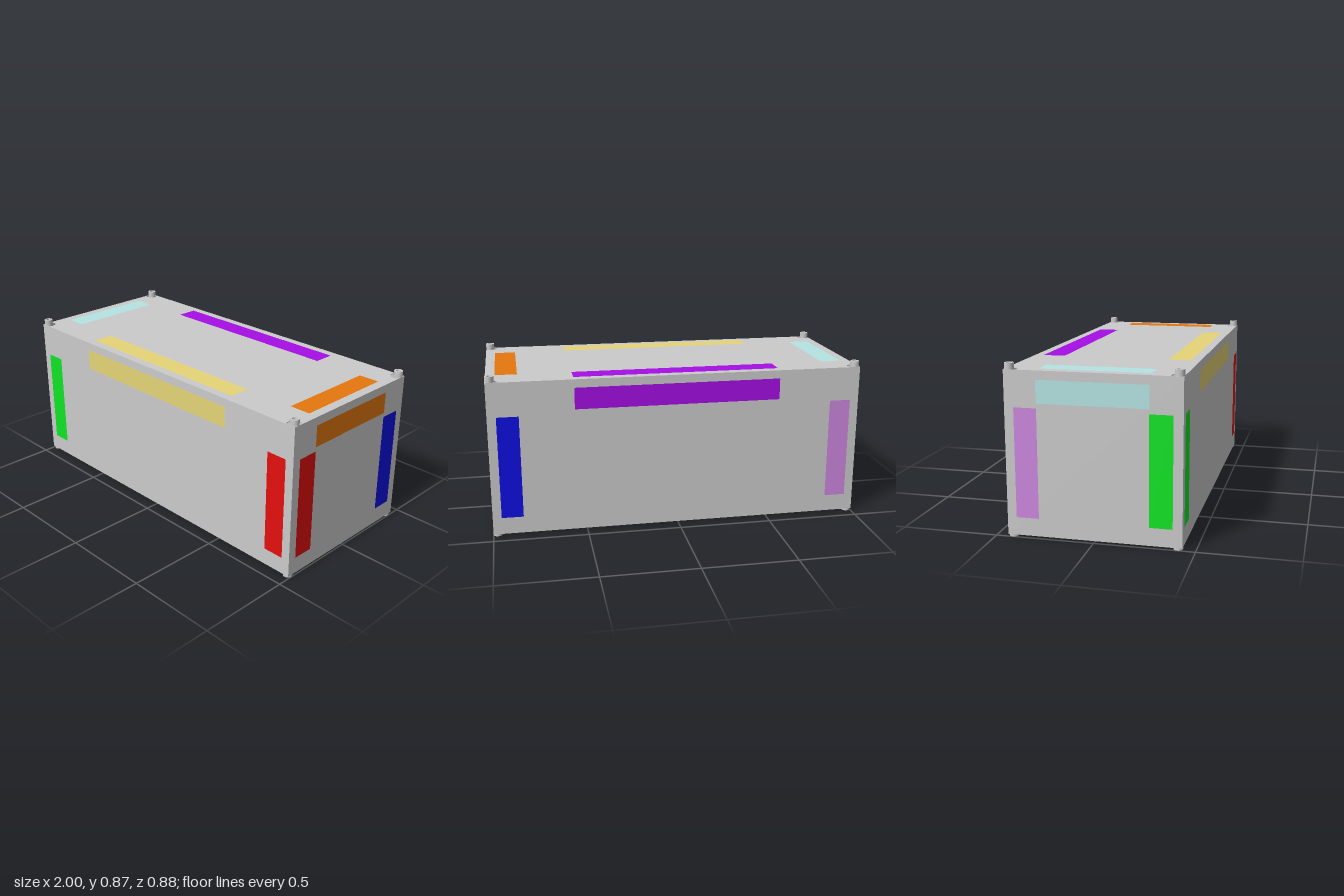
import * as THREE from 'three';

const W = 1, D = 0.437;            // half length and half depth
const Y0 = 0.012, Y1 = 0.838;      // panel bottom and top
const H = 0.868, T = 0.004;        // post height, panel thickness
const R = 0.0235, R_IN = 0.018;    // sleeve and pole radii
const PX = W - R, PZ = D - R;      // post centres

const grey = new THREE.MeshStandardMaterial({ color: 0xcccccc, side: THREE.DoubleSide });
const paint = {};
for (const [name, color] of Object.entries({
  red: 0xe60f0f, green: 0x0fe626, blue: 0x0f0fe6, orange: 0xe6770e,
  purple: 0xa50ee6, yellow: 0xe6d577, cyan: 0xb5e4e4, lilac: 0xcd88e0,
})) paint[name] = new THREE.MeshStandardMaterial({ color });

function add(parent, name, geometry, material = grey) {
  const mesh = new THREE.Mesh(geometry, material);
  mesh.name = name;
  parent.add(mesh);
  return mesh;
}

// Hollow tube standing from y = a to y = b
function tube(a, b, outer, inner) {
  const p = [[inner, a], [outer, a], [outer, a], [outer, b], [outer, b], [inner, b], [inner, b], [inner, a]];
  return new THREE.LatheGeometry(p.map(([x, y]) => new THREE.Vector2(x, y)), 24);
}

// Top panel outline, with a round notch around each post
function roofShape() {
  const shape = new THREE.Shape(), r = 0.04, a = Math.acos(R / r);
  [[1, 1], [-1, 1], [-1, -1], [1, -1]].forEach(([sx, sz], k) => {
    const turn = k * Math.PI / 2;
    shape.absarc(sx * PX, sz * PZ, r, turn - a, turn + Math.PI / 2 + a, true);
  });
  shape.closePath();
  return shape;
}

// One wall facing +z in its own group, with a strip on each side and one above
function wall(name, halfWidth, halfStrip, left, top, right) {
  const g = new THREE.Group();
  g.name = name;
  add(g, name + 'Panel', new THREE.BoxGeometry(2 * halfWidth, Y1 - Y0, T))
    .position.set(0, (Y0 + Y1) / 2, -T / 2);
  const side = halfWidth - 0.1045;
  for (const [label, color, x, y, w, h] of [
    ['LeftStrip', left, -side, 0.379, 0.115, 0.552],
    ['RightStrip', right, side, 0.379, 0.115, 0.552],
    ['TopStrip', top, 0, 0.736, 2 * halfStrip, 0.115],
  ]) add(g, name + label, new THREE.PlaneGeometry(w, h), paint[color]).position.set(x, y, 0.001);
  return g;
}

export function createModel() {
  const model = new THREE.Group();

  // Four walls, open below
  const walls = [
    wall('front', W, 0.55, 'green', 'yellow', 'red'),
    wall('rightHand', D, 0.276, 'red', 'orange', 'blue'),
    wall('back', W, 0.55, 'blue', 'purple', 'lilac'),
    wall('leftHand', D, 0.276, 'lilac', 'cyan', 'green'),
  ];
  walls.forEach((g, k) => {
    const a = k * Math.PI / 2, d = k % 2 ? W : D;
    g.rotation.y = a;
    g.position.set(Math.sin(a) * d, 0, Math.cos(a) * d);
    model.add(g);
  });

  // Top panel and its strips
  const roof = add(model, 'topPanel',
    new THREE.ExtrudeGeometry(roofShape(), { depth: T, bevelEnabled: false, curveSegments: 16 }));
  roof.rotation.x = -Math.PI / 2;
  roof.position.y = Y1 - T;
  for (const [color, x, z, w, d] of [
    ['purple', 0, -0.333, 1.1, 0.115], ['yellow', 0, 0.333, 1.1, 0.115],
    ['orange', 0.892, 0, 0.115, 0.552], ['cyan', -0.892, 0, 0.115, 0.552],
  ]) {
    const strip = add(model, 'topPanelStrip', new THREE.PlaneGeometry(w, d), paint[color]);
    strip.rotation.x = -Math.PI / 2;
    strip.position.set(x, Y1 + 0.001, z);
  }

  // Corner posts with sleeves at the ends and at the rail joints
  for (const sx of [-1, 1]) for (const sz of [-1, 1]) {
    const post = new THREE.Group();
    post.name = 'cornerPost';
    post.position.set(sx * PX, 0, sz * PZ);
    add(post, 'pole', tube(0.01, H - 0.01, R_IN, 0.013));
    for (const [a, b] of [[0, 0.09], [0.14, 0.21], [0.65, 0.71], [0.76, H]])
      add(post, 'sleeve', tube(a, b, R, 0.013));
    model.add(post);
  }

  // Rails between the posts: long ones at one level, short ones at another
  for (const s of [-1, 1]) {
    for (const y of [0.175, 0.68]) {
      const rail = add(model, 'longRail', new THREE.CylinderGeometry(R_IN, R_IN, 2 * PX, 24));
      rail.rotation.z = Math.PI / 2;
      rail.position.set(0, y, s * PZ);
    }
    for (const y of [0.065, 0.79]) {
      const rail = add(model, 'shortRail', new THREE.CylinderGeometry(R_IN, R_IN, 2 * PZ, 24));
      rail.rotation.x = Math.PI / 2;
      rail.position.set(s * PX, y, 0);
    }
  }
  return model;
}
